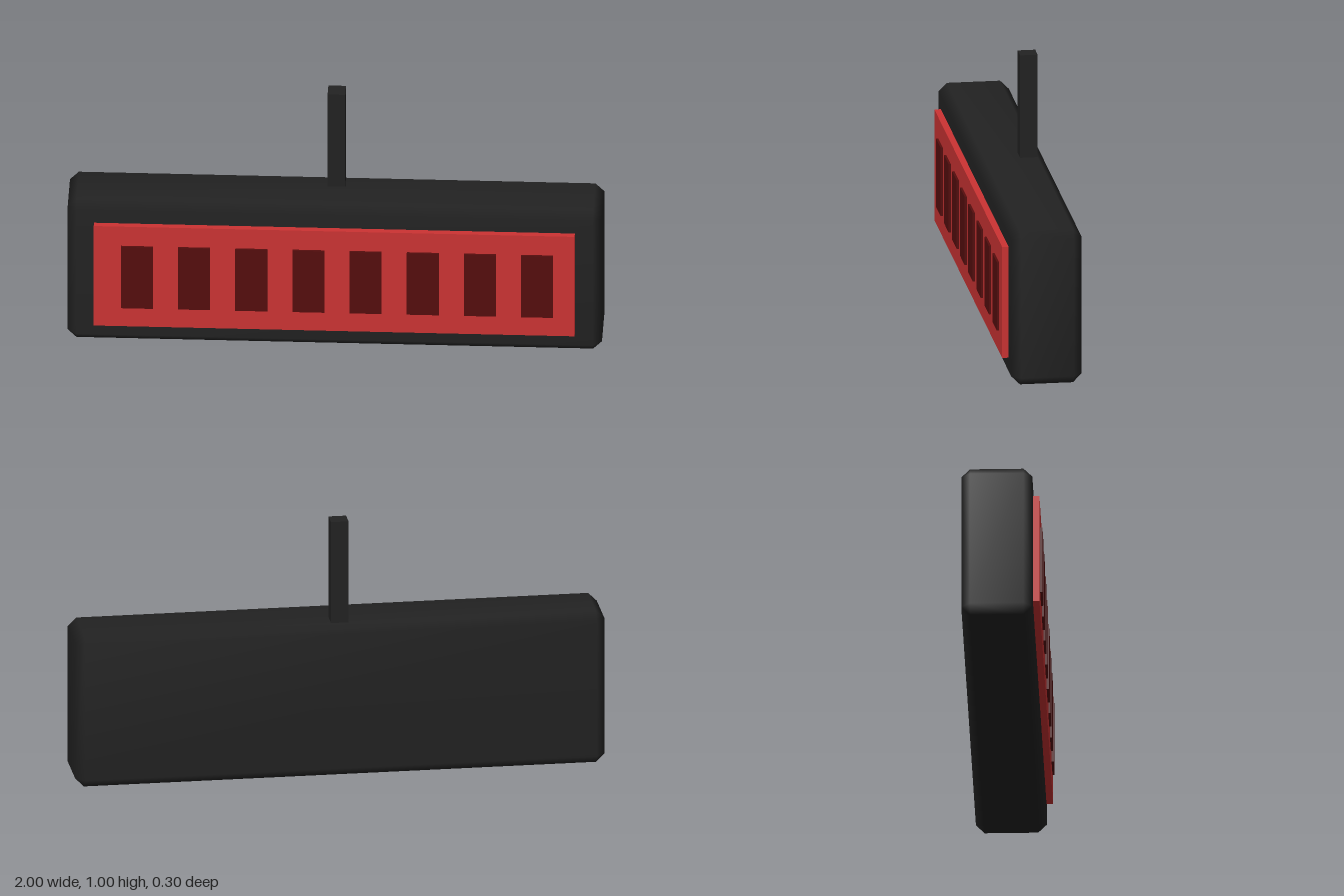
import * as THREE from 'three';
import { mergeVertices } from 'three/addons/utils/BufferGeometryUtils.js';
import { ConvexGeometry } from 'three/addons/geometries/ConvexGeometry.js';

// Box with one bevel step and softly blended normals
function bevelledBox(w, h, d, b) {
  const points = [];
  for (const x of [-w / 2, w / 2]) for (const y of [-h / 2, h / 2]) for (const z of [-d / 2, d / 2]) {
    const bx = Math.sign(x) * b, by = Math.sign(y) * b, bz = Math.sign(z) * b;
    points.push(
      new THREE.Vector3(x, y - by, z - bz),
      new THREE.Vector3(x - bx, y, z - bz),
      new THREE.Vector3(x - bx, y - by, z)
    );
  }
  const hull = new ConvexGeometry(points);
  hull.deleteAttribute('normal');
  const geometry = mergeVertices(hull, 1e-4);
  geometry.computeVertexNormals();
  return geometry;
}

export function createModel() {
  const group = new THREE.Group();
  const material = (name, color) => {
    const m = new THREE.MeshStandardMaterial({ color });
    m.name = name;
    return m;
  };
  const black = material('black casing', 0x222222);
  const red = material('red panel', 0xcc3333);
  const darkRed = material('dark red', 0x550d0d);

  function add(name, geometry, mat, x, y, z) {
    const mesh = new THREE.Mesh(geometry, mat);
    mesh.name = name;
    mesh.position.set(x, y, z);
    group.add(mesh);
  }

  // Casing and the hanging pole above it
  add('casing', bevelledBox(2, 0.6, 0.266, 0.033), black, 0, 0.3, -0.016);
  add('pole', new THREE.BoxGeometry(0.066, 0.42, 0.066), black, 0, 0.79, -0.083);

  // Raised front panel
  add('frontPanel', new THREE.BoxGeometry(1.8, 0.433, 0.033), red, 0, 0.302, 0.125);

  // Row of dark blocks on the panel
  const block = new THREE.BoxGeometry(0.12, 0.267, 0.016);
  for (let i = 0; i < 8; i++) {
    add(`displayBlock${i + 1}`, block, darkRed, -0.738 + i * 0.214, 0.302, 0.142);
  }
  return group;
}
